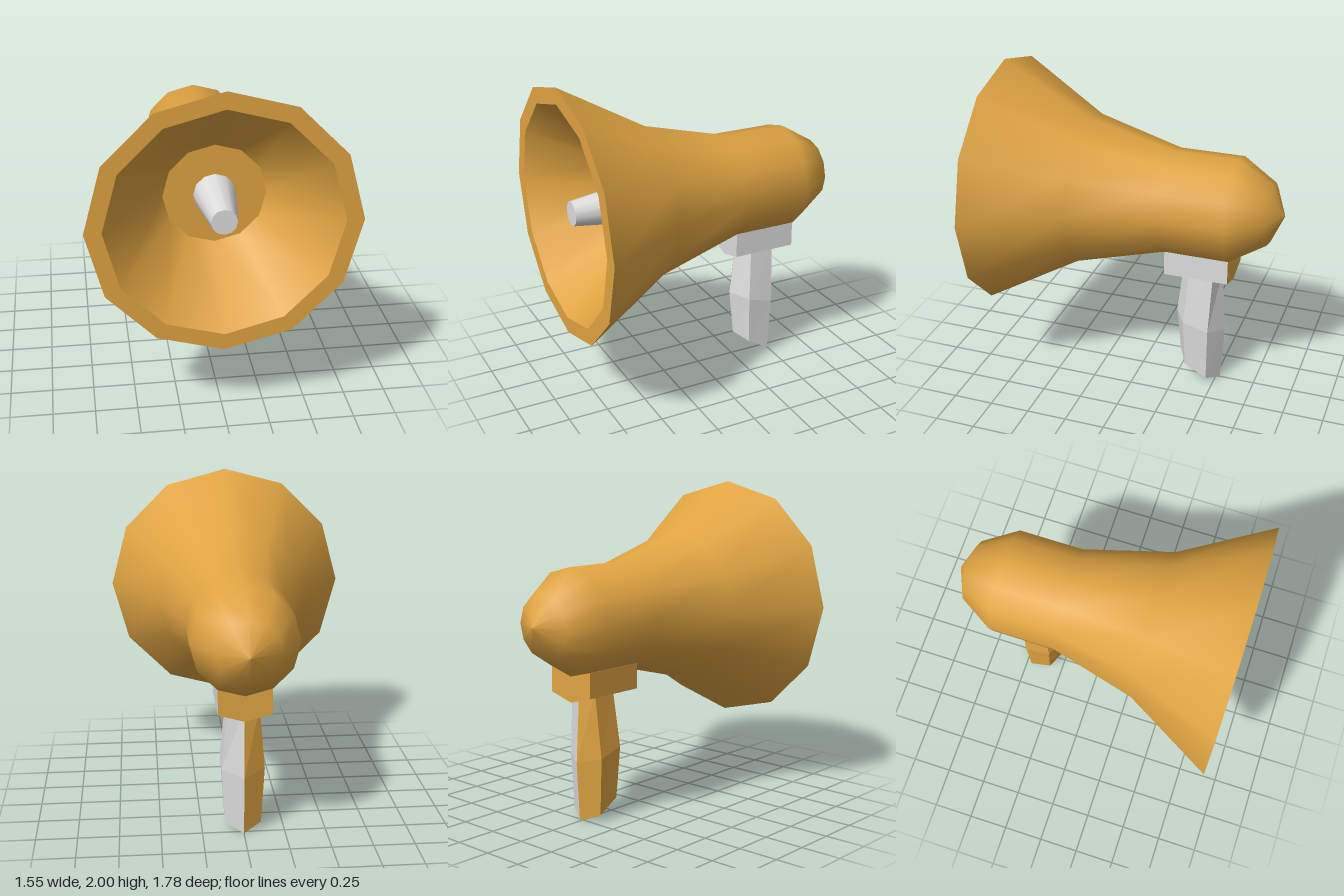
import * as THREE from 'three';

const orange = new THREE.MeshStandardMaterial({ color: 0xe0a442 });
orange.name = 'orange';
const lightGrey = new THREE.MeshStandardMaterial({ color: 0xdedede });
lightGrey.name = 'lightGrey';

const AXIS_Y = 1.225; // height of the horn's axis

// Twelve-sided surface of revolution around the horn axis; profile is [radius, z]
function turned(name, profile, material) {
  const geo = new THREE.LatheGeometry(profile.map(([r, z]) => new THREE.Vector2(r, z)), 12);
  geo.rotateX(Math.PI / 2);
  const mesh = new THREE.Mesh(geo, material);
  mesh.name = name;
  mesh.position.y = AXIS_Y;
  return mesh;
}

// Flat-shaded loft through six-point rings, in two colours split at x = 0.
// Caps: startColour for the first ring, grey for the last.
function splitLoft(name, rings, startColour) {
  const buckets = [[], []]; // 0 = orange, 1 = grey
  const tri = (c, ...pts) => pts.forEach((p) => buckets[c].push(...p));
  for (let k = 0; k < rings.length - 1; k++) {
    const a = rings[k], b = rings[k + 1];
    for (let i = 0; i < 6; i++) {
      const j = (i + 1) % 6, c = i < 3 ? 1 : 0;
      tri(c, a[i], a[j], b[j]);
      tri(c, a[i], b[j], b[i]);
    }
  }
  const first = rings[0], last = rings[rings.length - 1];
  for (let i = 1; i < 5; i++) {
    tri(startColour, first[0], first[i + 1], first[i]);
    tri(1, last[0], last[i], last[i + 1]);
  }
  const geo = new THREE.BufferGeometry();
  geo.setAttribute('position', new THREE.Float32BufferAttribute(buckets.flat(), 3));
  geo.addGroup(0, buckets[0].length / 3, 0);
  geo.addGroup(buckets[0].length / 3, buckets[1].length / 3, 1);
  geo.computeVertexNormals();
  const mesh = new THREE.Mesh(geo, [orange, lightGrey]);
  mesh.name = name;
  return mesh;
}

// Mirror four points (centre, +x, +x, centre) into a six-point ring
function mirrorRing(p) {
  const flip = ([x, y, z]) => [-x, y, z];
  return [...p, flip(p[2]), flip(p[1])];
}

export function createModel() {
  const group = new THREE.Group();
  group.name = 'megaphone';

  // Horn: outer shell, flat rim, inner cone and its back wall
  group.add(
    turned('hornShell', [[0, -0.888], [0.19, -0.805], [0.322, -0.59], [0.322, -0.19], [0.465, 0.35], [0.775, 0.888]], orange),
    turned('hornRim', [[0.775, 0.888], [0.675, 0.888]], orange),
    turned('hornInside', [[0.675, 0.888], [0.305, 0.44]], orange),
    turned('hornBackWall', [[0.305, 0.44], [0, 0.44]], orange),
  );

  // Tapered speaker cone in the mouth
  group.add(
    turned('speakerCone', [[0.125, 0.44], [0.075, 0.83]], lightGrey),
    turned('speakerConeTip', [[0.075, 0.83], [0, 0.83]], lightGrey),
  );

  // Bracket with a shallow V underside
  const bracketRing = (z) => mirrorRing([[0, 0.745, z], [0.16, 0.79, z], [0.16, 0.945, z], [0, 0.945, z]]);
  group.add(splitLoft('handleBracket', [bracketRing(-0.59), bracketRing(-0.19)], 0));

  // Six-sided grip, bulging in the middle and cut at a slant below
  const gripRings = [
    [[0, 0.16, -0.26], [0.11, 0.125, -0.32], [0.11, 0.043, -0.46], [0, 0, -0.525]],
    [[0, 0.46, -0.23], [0.13, 0.445, -0.307], [0.13, 0.4, -0.468], [0, 0.365, -0.548]],
    [[0, 0.8, -0.272], [0.095, 0.8, -0.332], [0.095, 0.8, -0.484], [0, 0.8, -0.522]],
  ].map(mirrorRing);
  group.add(splitLoft('grip', gripRings, 1));

  return group;
}
